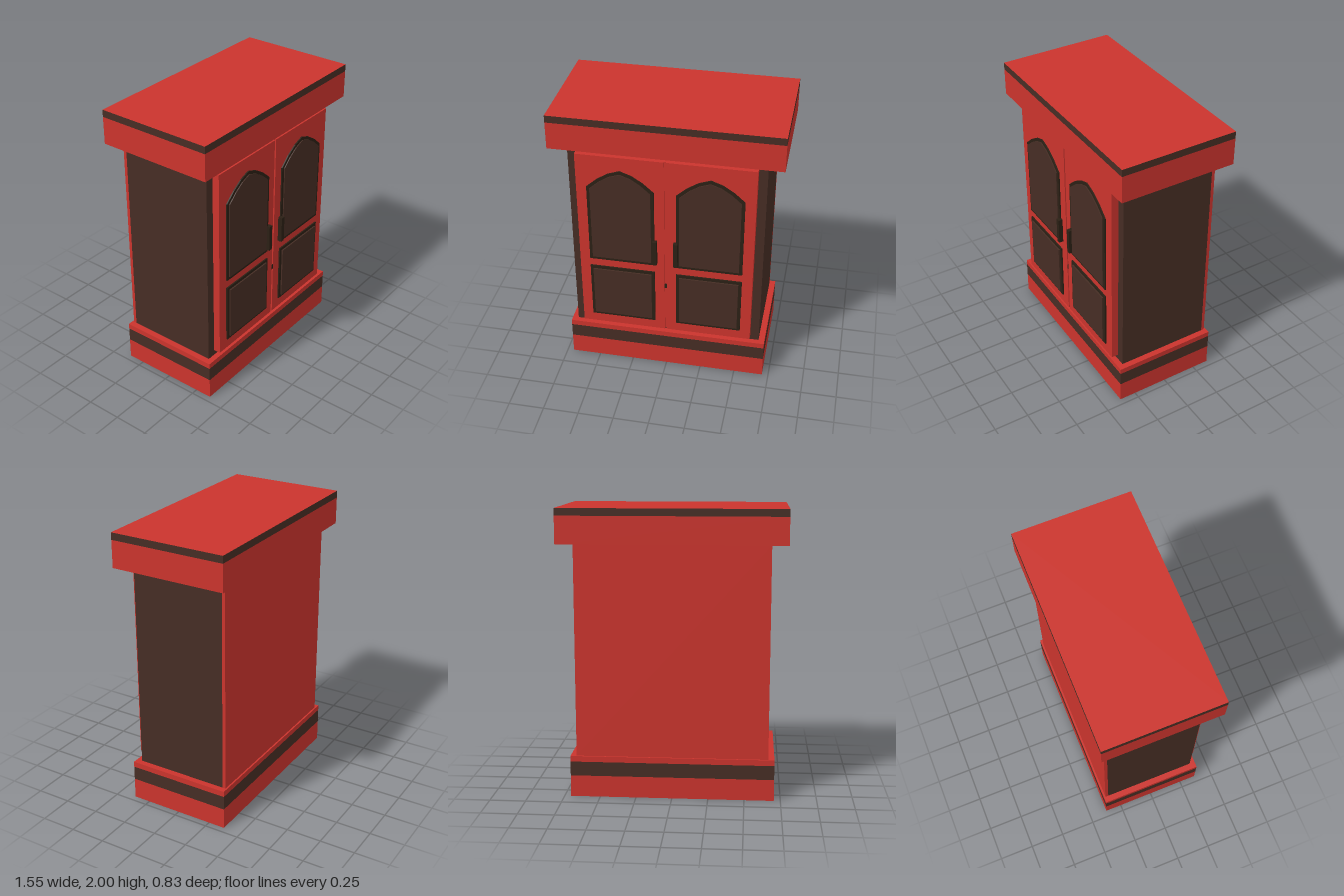
import * as THREE from 'three';

const material = (name, color) => {
  const m = new THREE.MeshStandardMaterial({ color });
  m.name = name;
  return m;
};

export function createModel() {
  const red = material('red paint', 0xcb342d);
  const brown = material('dark brown wood', 0x462d24);
  const trim = material('blackened trim', 0x2b2015);
  const model = new THREE.Group();
  model.name = 'cabinet';

  // Box given by its minimum and maximum corners
  const box = (name, mat, [x0, y0, z0], [x1, y1, z1], parent = model) => {
    const mesh = new THREE.Mesh(new THREE.BoxGeometry(x1 - x0, y1 - y0, z1 - z0), mat);
    mesh.position.set((x0 + x1) / 2, (y0 + y1) / 2, (z0 + z1) / 2);
    mesh.name = name;
    parent.add(mesh);
    return mesh;
  };
  // Box centred on x and z
  const slab = (name, mat, w, d, y0, y1) => box(name, mat, [-w, y0, -d], [w, y1, d]);

  // Plinth with a dark band
  slab('plinthBase', red, 0.705, 0.37, 0, 0.15);
  slab('plinthBand', brown, 0.705, 0.37, 0.15, 0.25);
  slab('plinthTop', red, 0.705, 0.37, 0.25, 0.29);

  // Carcass and back panel
  box('carcass', brown, [-0.663, 0.29, -0.335], [0.663, 1.76, 0.33]);
  box('backPanel', red, [-0.663, 0.29, -0.358], [0.663, 1.76, -0.335]);

  // Cornice: dark edge around a red top face
  slab('cornice', red, 0.775, 0.413, 1.76, 1.95);
  slab('corniceEdge', [brown, brown, red, brown, brown, brown], 0.775, 0.413, 1.95, 2);

  // Pointed arch outline, inset by t
  const archShape = (t) => {
    const half = 0.228 - t;
    const k = half / 0.228;
    const spring = 1.48 - t * 0.4;
    const rise = 0.142 - t * 0.6;
    const s = new THREE.Shape();
    s.moveTo(-half, 0.893 + t);
    s.lineTo(half, 0.893 + t);
    s.lineTo(half, spring);
    s.lineTo(0.155 * k, spring + rise * 0.46);
    s.lineTo(0.08 * k, spring + rise * 0.8);
    s.lineTo(0, spring + rise);
    s.lineTo(-0.08 * k, spring + rise * 0.8);
    s.lineTo(-0.155 * k, spring + rise * 0.46);
    s.lineTo(-half, spring);
    s.closePath();
    return s;
  };
  const archPanel = (name, mat, t, depth, parent) => {
    const mesh = new THREE.Mesh(
      new THREE.ExtrudeGeometry(archShape(t), { depth, bevelEnabled: false }), mat);
    mesh.position.set(0.303, 0, 0.38);
    mesh.name = name;
    parent.add(mesh);
  };

  // Two doors, symmetrical about the middle
  for (const side of [1, -1]) {
    const door = new THREE.Group();
    door.name = side > 0 ? 'leftDoor' : 'rightDoor';
    const part = (name, mat, a, b) => {
      const mesh = box(name, mat, a, b, door);
      mesh.position.x *= side;
    };
    part('doorLeaf', red, [0.007, 0.33, 0.33], [0.603, 1.72, 0.38]);
    part('lowerPanelFrame', trim, [0.075, 0.405, 0.38], [0.531, 0.833, 0.39]);
    part('lowerPanel', brown, [0.097, 0.427, 0.38], [0.509, 0.811, 0.4]);
    part('handle', trim, [0.057, 0.91, 0.38], [0.087, 1.1, 0.411]);
    const arch = new THREE.Group();
    arch.name = 'archedPanel';
    arch.position.x = side > 0 ? 0 : -0.606;
    archPanel('archFrame', trim, 0, 0.009, arch);
    archPanel('archField', brown, 0.022, 0.016, arch);
    door.add(arch);
    model.add(door);
  }

  // Meeting strip and keyhole between the doors
  box('meetingStrip', red, [-0.007, 0.33, 0.33], [0.007, 1.72, 0.37]);
  box('keyhole', trim, [-0.008, 0.7, 0.372], [0.008, 0.735, 0.381]);

  return model;
}
